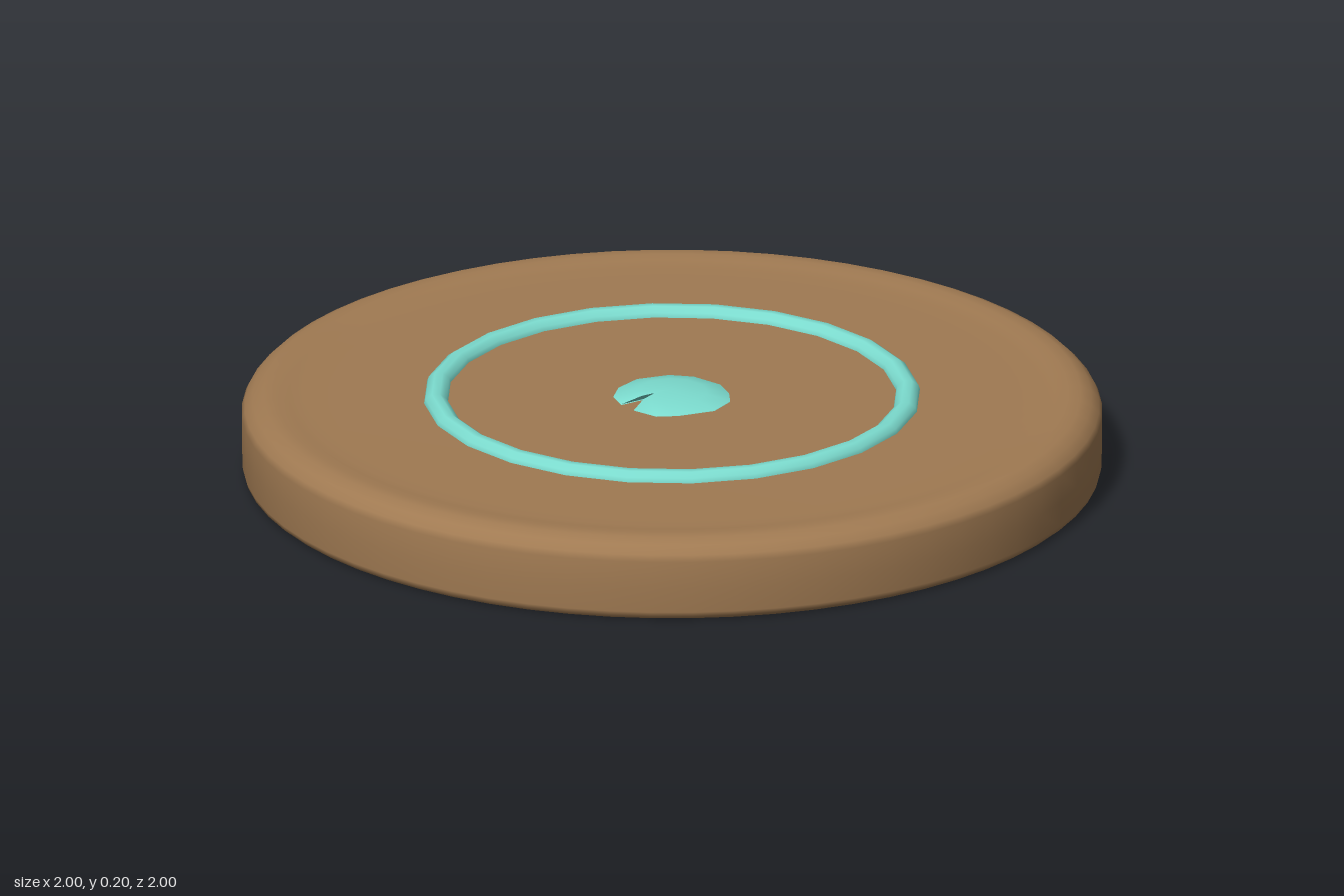
import * as THREE from 'three';

export function createModel() {
  const group = new THREE.Group();
  const wood = new THREE.MeshStandardMaterial({ color: 0xa07a52 });
  wood.name = 'brown wood';
  const teal = new THREE.MeshStandardMaterial({ color: 0x7cdccf });
  teal.name = 'teal inlay';
  const add = (name, geometry, material) => {
    const mesh = new THREE.Mesh(geometry, material);
    mesh.name = name;
    group.add(mesh);
    return mesh;
  };

  // Round slab: flat underside, straight wall, rounded shoulder, faint lip around the top
  const profile = [
    [0, 0], [0.975, 0], [0.985, 0.001], [0.995, 0.009], [0.998, 0.02],
    [1, 0.08], [1, 0.145], [0.993, 0.16], [0.975, 0.178], [0.95, 0.189],
    [0.92, 0.19], [0.89, 0.186], [0.86, 0.183], [0.8, 0.182], [0, 0.182],
  ].map(([r, y]) => new THREE.Vector2(r, y));
  add('slab', new THREE.LatheGeometry(profile, 64), wood);

  // Half-sunk ring
  const ring = add('ring', new THREE.TorusGeometry(0.55, 0.03, 10, 24), teal);
  ring.rotation.x = -Math.PI / 2;
  ring.position.y = 0.175;

  // Low domed centre button with a small notch on its right side
  const outline = [
    [0.13, -0.03], [0.09, -0.1], [0.04, -0.13], [-0.04, -0.13], [-0.1, -0.09],
    [-0.13, -0.04], [-0.13, 0.015], [-0.07, 0], [-0.115, 0.06], [-0.08, 0.115],
    [-0.03, 0.128], [0.06, 0.125], [0.115, 0.08], [0.13, 0.03],
  ];
  const n = outline.length;
  const positions = [0, 0.2, 0];
  const levels = [[0.6, 0.196], [1, 0.184], [1, 0.175]];
  for (const [s, y] of levels) {
    for (const [x, z] of outline) positions.push(x * s, y, z * s);
  }
  const index = [];
  for (let i = 0; i < n; i++) {
    const j = (i + 1) % n;
    index.push(0, 1 + i, 1 + j);
    for (let k = 0; k < levels.length - 1; k++) {
      const a = 1 + k * n, b = a + n;
      index.push(a + i, b + i, b + j, a + i, b + j, a + j);
    }
  }
  const dome = new THREE.BufferGeometry();
  dome.setAttribute('position', new THREE.Float32BufferAttribute(positions, 3));
  // Outline runs anticlockwise from above, so corners are reversed where needed
  const area = outline.reduce((sum, [x, z], i) => {
    const [x2, z2] = outline[(i + 1) % n];
    return sum + x * z2 - x2 * z;
  }, 0);
  if (area > 0) index.reverse();
  dome.setIndex(index);
  dome.computeVertexNormals();
  add('centreButton', dome, teal);

  return group;
}
